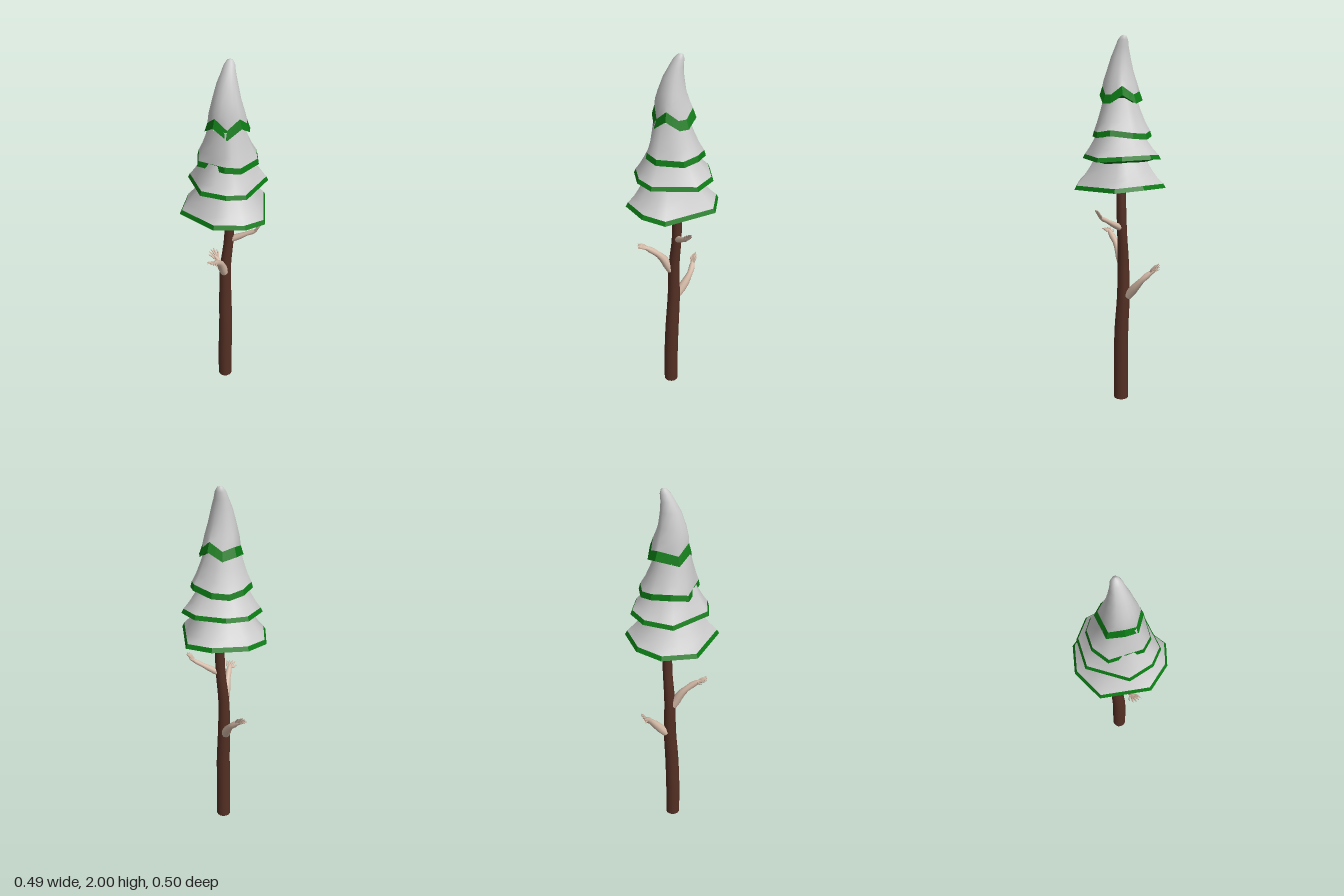
import * as THREE from 'three';

const V = (x, y, z) => new THREE.Vector3(x, y, z);
const snow = new THREE.MeshStandardMaterial({ color: 0xcccccc });
const green = new THREE.MeshStandardMaterial({ color: 0x0b7a14 });
const bark = new THREE.MeshStandardMaterial({ color: 0x553024 });
const skin = new THREE.MeshStandardMaterial({ color: 0xd6bba8 });

function add(parent, name, geometry, material) {
  const mesh = new THREE.Mesh(geometry, material);
  mesh.name = name;
  parent.add(mesh);
  return mesh;
}

// Tapered tube through points, radii spread evenly along its length
function limb(points, radii, segments, sides) {
  const curve = new THREE.CatmullRomCurve3(points);
  const geo = new THREE.TubeGeometry(curve, segments, 1, sides);
  const pos = geo.attributes.position, v = V(0, 0, 0);
  for (let i = 0; i <= segments; i++) {
    const c = curve.getPointAt(i / segments);
    const f = (i / segments) * (radii.length - 1), k = Math.min(Math.floor(f), radii.length - 2);
    const r = THREE.MathUtils.lerp(radii[k], radii[k + 1], f - k);
    for (let j = 0; j <= sides; j++) {
      const n = i * (sides + 1) + j;
      v.fromBufferAttribute(pos, n).sub(c).multiplyScalar(r).add(c);
      pos.setXYZ(n, v.x, v.y, v.z);
    }
  }
  return geo;
}

// Wavy polygon rim: corners at given angles, wider towards the back, with edge midpoints
function makeRim({ y, radius, back, angles, wave, lobes, crest }) {
  const corners = angles.map(degrees => {
    const a = THREE.MathUtils.degToRad(degrees);
    const r = radius - back * Math.sin(a);
    const lift = wave * Math.cos(lobes * (a - THREE.MathUtils.degToRad(crest)));
    return V(r * Math.cos(a), y + lift, r * Math.sin(a));
  });
  return corners.flatMap((c, i) => [c, c.clone().lerp(corners[(i + 1) % corners.length], 0.5)]);
}

// Loft of rings derived from a rim; row = [scale, rise, rim shape kept, z shift]
function loft(rim, y, radius, rows, flat) {
  const n = rim.length, verts = [], index = [];
  rows.forEach(([scale, rise, keep = 0, shift = 0], i) => {
    rim.forEach((p, j) => {
      const a = Math.atan2(p.z, p.x);
      const r = scale * THREE.MathUtils.lerp(radius, Math.hypot(p.x, p.z), keep);
      verts.push(r * Math.cos(a), y + rise + (p.y - y) * keep, r * Math.sin(a) + shift);
      if (i + 1 < rows.length) {
        const q = i * n + j, s = i * n + (j + 1) % n;
        index.push(q, q + n, s, s, q + n, s + n);
      }
    });
  });
  let geo = new THREE.BufferGeometry();
  geo.setAttribute('position', new THREE.Float32BufferAttribute(verts, 3));
  geo.setIndex(index);
  if (flat) geo = geo.toNonIndexed();
  geo.computeVertexNormals();
  return geo;
}

// Arm-shaped branch ending in a hand
function armBranch(name, path, tip, spread, size) {
  const group = new THREE.Group();
  group.name = name;
  const wrist = path[path.length - 1];
  const reach = tip.clone().sub(wrist), side = spread.clone().normalize();
  const at = (along, across) => wrist.clone().addScaledVector(reach, along).addScaledVector(side, across * size);
  add(group, 'arm', limb([...path, at(0.3, 0)], [1, 1.1, 0.95, 0.7, 0.75, 0.35].map(r => r * size), 20, 10), skin);
  for (let i = 0; i < 4; i++) {
    const k = i - 1.5;
    const knuckle = at(0.55, k * 0.55).add(V(0, 0.004, 0));
    const finger = [at(0.1, k * 0.3), knuckle, at(1 - 0.08 * Math.abs(k), k * 0.75)];
    add(group, 'finger', limb(finger, [0.0065, 0.006, 0.005, 0.001], 8, 6), skin);
  }
  const thumb = [at(-0.1, 0), at(0.15, 1.1), at(0.5, 1.6)];
  add(group, 'thumb', limb(thumb, [0.007, 0.006, 0.005, 0.001], 8, 6), skin);
  return group;
}

// Snow profiles: a flared skirt for the lower tiers, a backward-bent tip for the top
const skirtSnow = [[0.95, 0.022, 1], [0.82, 0.055, 0.7], [0.68, 0.1, 0.4], [0.55, 0.15]];
const peakSnow = [[0.86, 0.047, 1], [0.78, 0.09, 0.6], [0.62, 0.15, 0.2, -0.003], [0.46, 0.22, 0, -0.012],
  [0.32, 0.27, 0, -0.025], [0.24, 0.305, 0, -0.037], [0.13, 0.325, 0, -0.044], [0, 0.33, 0, -0.046]];

// Angles run from +x towards +z; under is the rise of the hollow beneath
const tiers = [
  { y: 1.208, radius: 0.25, back: 0.005, angles: [13, 43, 81, 145, 189, 223, 267, 302],
    wave: 0.013, lobes: 2, crest: 75, under: 0.1, profile: skirtSnow },
  { y: 1.363, radius: 0.212, back: 0.015, angles: [36, 66, 107, 175, 218, 250, 293, 328],
    wave: 0.009, lobes: 2, crest: 85, under: -0.022, profile: skirtSnow },
  { y: 1.48, radius: 0.16, back: 0.018, angles: [37, 69, 143, 180, 216, 243, 273, 313, 343],
    wave: 0.011, lobes: 3, crest: 69, under: -0.005,
    profile: skirtSnow.map(([scale, rise, keep]) => [scale, rise * 1.35, keep]) },
  { y: 1.67, radius: 0.113, back: 0.016, angles: [21, 63, 108, 158, 221, 255, 290, 321, 345],
    wave: 0.026, lobes: 4, crest: 108, under: 0, profile: peakSnow },
];

export function createModel() {
  const model = new THREE.Group();
  model.name = 'snowyTree';

  // Trunk with a closed foot
  const trunkPath = [V(-0.007, 0, 0), V(-0.007, 0.2, 0), V(-0.006, 0.4, -0.006), V(-0.013, 0.6, -0.016),
    V(-0.012, 0.8, -0.017), V(0.003, 1, -0.03), V(0.008, 1.2, -0.03), V(0.008, 1.32, -0.025)];
  add(model, 'trunk', limb(trunkPath, [0.04, 0.04, 0.039, 0.036, 0.032, 0.027, 0.026, 0.025], 40, 14), bark);
  const foot = add(model, 'trunkFoot', new THREE.CircleGeometry(0.04, 14), bark);
  foot.rotation.x = Math.PI / 2;
  foot.position.set(-0.007, 0, 0);

  // Branches
  model.add(armBranch('leftBranch', [V(0, 0.985, -0.03), V(0.05, 1.01, -0.042), V(0.105, 1.04, -0.055),
    V(0.143, 1.062, -0.062)], V(0.178, 1.108, -0.07), V(0.1, 0.2, -0.8), 0.017));
  model.add(armBranch('frontBranch', [V(-0.012, 0.78, 0), V(-0.011, 0.865, 0.05), V(-0.006, 0.912, 0.1),
    V(-0.003, 0.937, 0.138)], V(0, 0.955, 0.19), V(-1, 0, 0), 0.023));
  model.add(armBranch('rightBranch', [V(-0.03, 0.605, -0.04), V(-0.055, 0.67, -0.09), V(-0.085, 0.718, -0.122),
    V(-0.12, 0.75, -0.137)], V(-0.172, 0.785, -0.148), V(0.25, 0.6, -0.4), 0.023));

  // Foliage tiers: green underside and rim, snow on top
  tiers.forEach((tier, i) => {
    const group = new THREE.Group();
    group.name = `foliageTier${i + 1}`;
    const { y, radius, under, profile } = tier;
    const rim = makeRim(tier);
    const rimRows = [[0, under + 0.03], [0.55, under, 0.5], [0.94, 0.005, 1], [1, 0, 1], profile[0]];
    add(group, 'greenRim', loft(rim, y, radius, rimRows, true), green);
    add(group, 'snowCover', loft(rim, y, radius, profile, false), snow);
    model.add(group);
  });
  return model;
}
